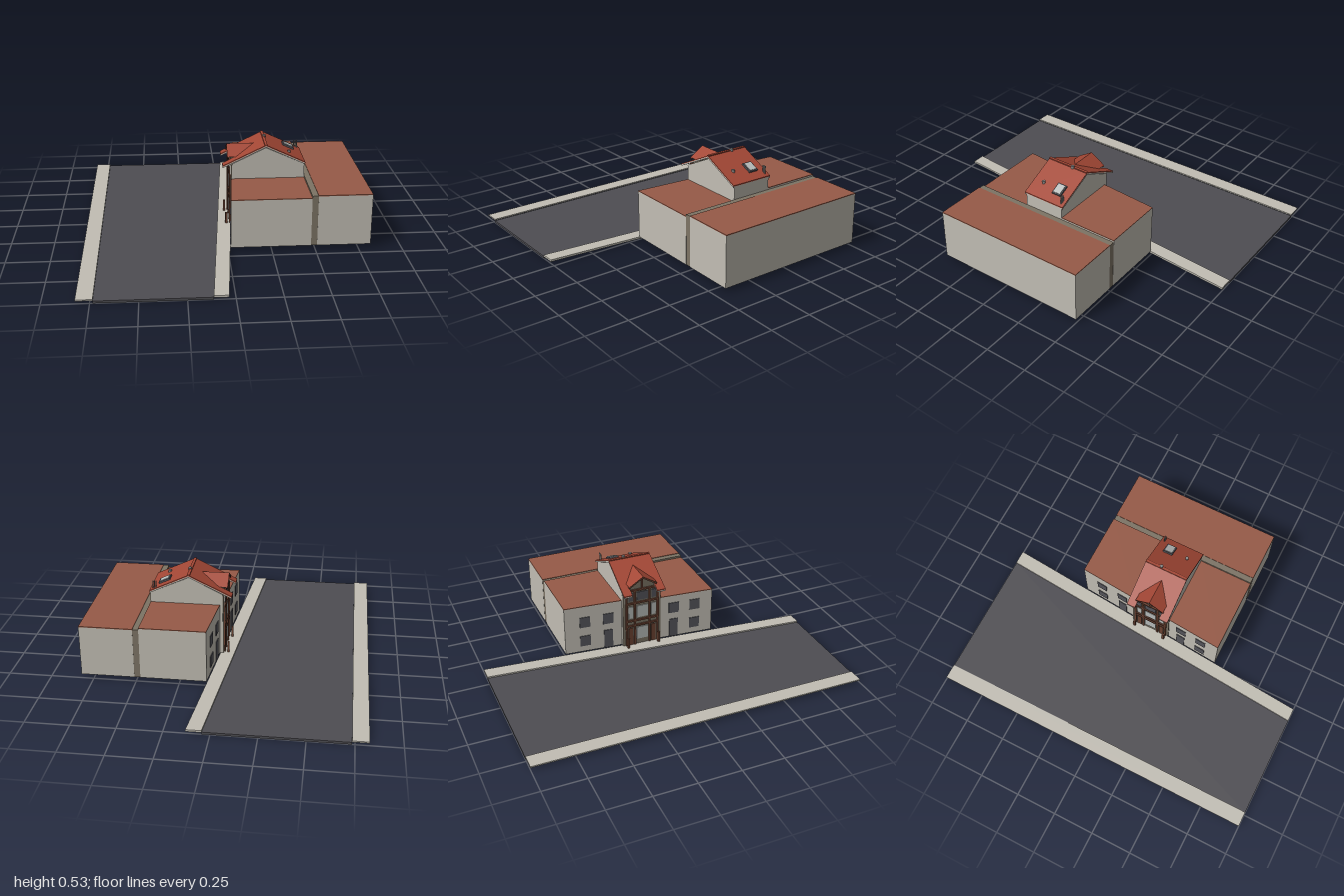
import * as THREE from 'three';

const mat = (name, color, side = THREE.FrontSide) => {
  const m = new THREE.MeshStandardMaterial({ color, side });
  m.name = name;
  return m;
};

export function createModel() {
  const root = new THREE.Group();
  root.name = 'streetHouse';
  const plaster = mat('plaster', 0xc2beb4);
  const asphalt = mat('asphalt', 0x4e4d52);
  const flatRoof = mat('flatRoof', 0x965a47);
  const tile = mat('tile', 0xa34735, THREE.DoubleSide);
  const recess = mat('recess', 0x7d7465);
  const timber = mat('timber', 0x6e4433);
  const glass = mat('glass', 0x55555b);
  const metal = mat('metal', 0x8a8a88);
  const pane = mat('pane', 0xb9bdbb);

  const add = (name, geo, material, parent = root) => {
    const m = new THREE.Mesh(geo, material);
    m.name = name;
    parent.add(m);
    return m;
  };
  // box from its minimum and maximum corners
  const box = (name, a, b, material, parent) => {
    const m = add(name, new THREE.BoxGeometry(b[0] - a[0], b[1] - a[1], b[2] - a[2]), material, parent);
    m.position.set((a[0] + b[0]) / 2, (a[1] + b[1]) / 2, (a[2] + b[2]) / 2);
    return m;
  };
  const extrude = (pts, depth) => new THREE.ExtrudeGeometry(
    new THREE.Shape(pts.map(p => new THREE.Vector2(p[0], p[1]))), { depth, bevelEnabled: false });
  // ground plan of [x, z] points raised from y0 to y1
  const plan = (name, pts, y0, y1, material) => add(name,
    extrude(pts.map(p => [p[0], -p[1]]), y1 - y0).rotateX(-Math.PI / 2).translate(0, y0, 0), material);
  // side profile of [x, y] points run from z0 to z1
  const profile = (name, pts, z0, z1, material) => add(name,
    extrude(pts, z1 - z0).translate(0, 0, z0), material);

  // Street and pavements
  plan('road', [[-0.735, -1], [0.045, -1], [-0.115, 1], [-0.735, 1]], 0, 0.013, asphalt);
  box('farPavement', [-0.825, 0.014, -1], [-0.735, 0.022, 1], plaster);
  plan('nearPavement', [[0.045, -1], [0.13, -1], [-0.035, 1], [-0.115, 1]], 0.01, 0.022, plaster);

  // Slanted street front of the neighbours
  const SLANT = 0.0825;
  const front = z => 0.05 - SLANT * z;
  const neighbour = (name, z0, z1, top) => {
    const outline = [[front(z0), z0], [0.475, z0], [0.475, z1], [front(z1), z1]];
    plan(name, outline, 0.025, top - 0.004, plaster);
    plan(name + 'Roof', outline, top - 0.004, top, flatRoof);
  };
  neighbour('frontNeighbour', 0.105, 0.44, 0.316);
  neighbour('backNeighbour', -0.5, -0.145, 0.34);
  box('recessedJoint', [0.475, 0.026, -0.499], [0.51, 0.328, 0.439], recess);
  box('rearBlock', [0.51, 0.025, -0.5], [0.82, 0.326, 0.44], plaster);
  box('rearBlockRoof', [0.51, 0.326, -0.5], [0.82, 0.331, 0.44], flatRoof);

  // Windows and doors along the slanted front
  const facade = new THREE.Group();
  facade.name = 'facadeOpenings';
  facade.position.x = 0.05;
  facade.rotation.y = -Math.atan(SLANT);
  root.add(facade);
  const opening = (name, z, w, y0, y1) =>
    box(name, [-0.004, y0, z - w / 2], [0.003, y1, z + w / 2], glass, facade);
  for (const [door, win] of [[-0.23, -0.376], [0.19, 0.326]]) {
    for (const z of [door, win]) opening('upperWindow', z, 0.065, 0.195, 0.265);
    opening('lowerWindow', win, 0.065, 0.065, 0.135);
    opening('sideDoor', door, 0.055, 0.025, 0.15);
  }

  // Gabled house
  box('foundation', [0.06, 0.007, -0.13], [0.465, 0.025, 0.1], plaster);
  profile('houseBody', [[0.045, 0.025], [0.475, 0.025], [0.475, 0.4], [0.245, 0.506], [0.045, 0.408]],
    -0.145, 0.105, plaster);

  // Main roof: tiles above a pale soffit, with the street eave cut for the dormer
  const streetY = x => 0.402 + 0.482 * (x + 0.01);
  const yardY = x => 0.525 - 0.47 * (x - 0.245);
  const slope = (name, x0, x1, fy, z0, z1) => {
    const layer = (n, hi, lo, m) => profile(n,
      [[x0, fy(x0) - lo], [x1, fy(x1) - lo], [x1, fy(x1) - hi], [x0, fy(x0) - hi]], z0, z1, m);
    layer(name, 0, 0.006, tile);
    layer(name + 'Soffit', 0.006, 0.014, plaster);
  };
  slope('streetSlope', 0.045, 0.245, streetY, -0.154, 0.114);
  slope('streetEave', -0.01, 0.045, streetY, -0.154, -0.1);
  slope('streetEave', -0.01, 0.045, streetY, 0.06, 0.114);
  slope('yardSlope', 0.245, 0.479, yardY, -0.154, 0.114);
  box('ridgeCap', [0.237, 0.518, -0.154], [0.253, 0.527, 0.114], tile);

  // Dormer facing the street
  const MID = -0.02;
  add('dormerWall', extrude([[MID - 0.08, 0.3], [MID + 0.08, 0.3], [MID + 0.08, 0.44], [MID, 0.485], [MID - 0.08, 0.44]], 0.06)
    .rotateY(-Math.PI / 2).translate(0.1, 0, 0), recess);
  for (const s of [-1, 1]) {
    const g = new THREE.BufferGeometry();
    const e = MID + s * 0.09;
    g.setAttribute('position', new THREE.Float32BufferAttribute(
      [0.02, 0.496, MID, 0.183, 0.496, MID, 0.075, 0.44, e, 0.02, 0.44, e], 3));
    g.setIndex(s > 0 ? [0, 2, 1, 0, 3, 2] : [0, 1, 2, 0, 2, 3]);
    g.computeVertexNormals();
    add('dormerSlope', g, tile);
    // Sloping verge board under the dormer edge
    const board = add('dormerVerge', new THREE.BoxGeometry(0.008, 0.01, 0.105), timber);
    board.position.set(0.026, 0.46, MID + s * 0.045);
    board.rotation.x = s * Math.atan2(0.056, 0.09);
    // Brackets and porch posts
    const bracket = box('eaveBracket', [0.034, 0.32, MID + s * 0.108 - 0.006], [0.044, 0.4, MID + s * 0.108 + 0.006], plaster);
    bracket.rotation.z = 0.12;
    box('porchPost', [0.008, 0.022, MID + s * 0.1 - 0.007], [0.02, 0.09, MID + s * 0.1 + 0.007], timber);
  }

  // Timbered street front
  const panel = (name, y0, y1, z0, z1, m, out = 0.006) =>
    box(name, [0.04 - out, y0, z0], [0.04, y1, z1], m);
  box('frontPanel', [0.039, 0.025, -0.143], [0.046, 0.4, 0.103], recess);
  for (const z of [-0.122, -0.068, 0.028, 0.082]) panel('timberPost', 0.025, 0.4, z - 0.006, z + 0.006, timber, 0.009);
  for (const y of [0.155, 0.19, 0.312, 0.4]) panel('timberBeam', y, y + 0.012, -0.122, 0.082, timber, 0.009);
  panel('gablePost', 0.41, 0.475, MID - 0.005, MID + 0.005, timber, 0.009);
  for (const z of [-0.095, MID, 0.055]) {
    const w = z === MID ? 0.036 : 0.014;
    panel('houseWindow', 0.215, 0.295, z - w, z + w, pane);
    panel('atticWindow', 0.335, 0.39, z - w, z + w, glass);
    panel(z === MID ? 'shopWindow' : 'frontDoor', z === MID ? 0.06 : 0.026, 0.145, z - w, z + w, z === MID ? pane : timber);
  }
  box('cornice', [0.012, 0.308, 0.11], [0.04, 0.315, 0.435], plaster).visible = false;

  // Rooftop fittings on the yard side
  const skylight = new THREE.Group();
  skylight.name = 'skylight';
  skylight.position.set(0.395, yardY(0.395), -0.0725);
  skylight.rotation.z = -Math.atan(0.47);
  root.add(skylight);
  box('skylightFrame', [-0.036, 0, -0.03], [0.036, 0.01, 0.03], glass, skylight);
  box('skylightPane', [-0.029, 0.01, -0.023], [0.029, 0.013, 0.023], pane, skylight);
  for (const [x, z] of [[0.25, -0.055], [0.39, 0.045]]) {
    add('roofVent', new THREE.CylinderGeometry(0.01, 0.01, 0.022, 12), metal).position.set(x, yardY(x) + 0.001, z);
  }
  for (const x of [0.442, 0.451, 0.46]) {
    add('fluePipe', new THREE.CylinderGeometry(0.0035, 0.0035, 0.06, 8), metal).position.set(x, 0.44, -0.132);
  }
  return root;
}
